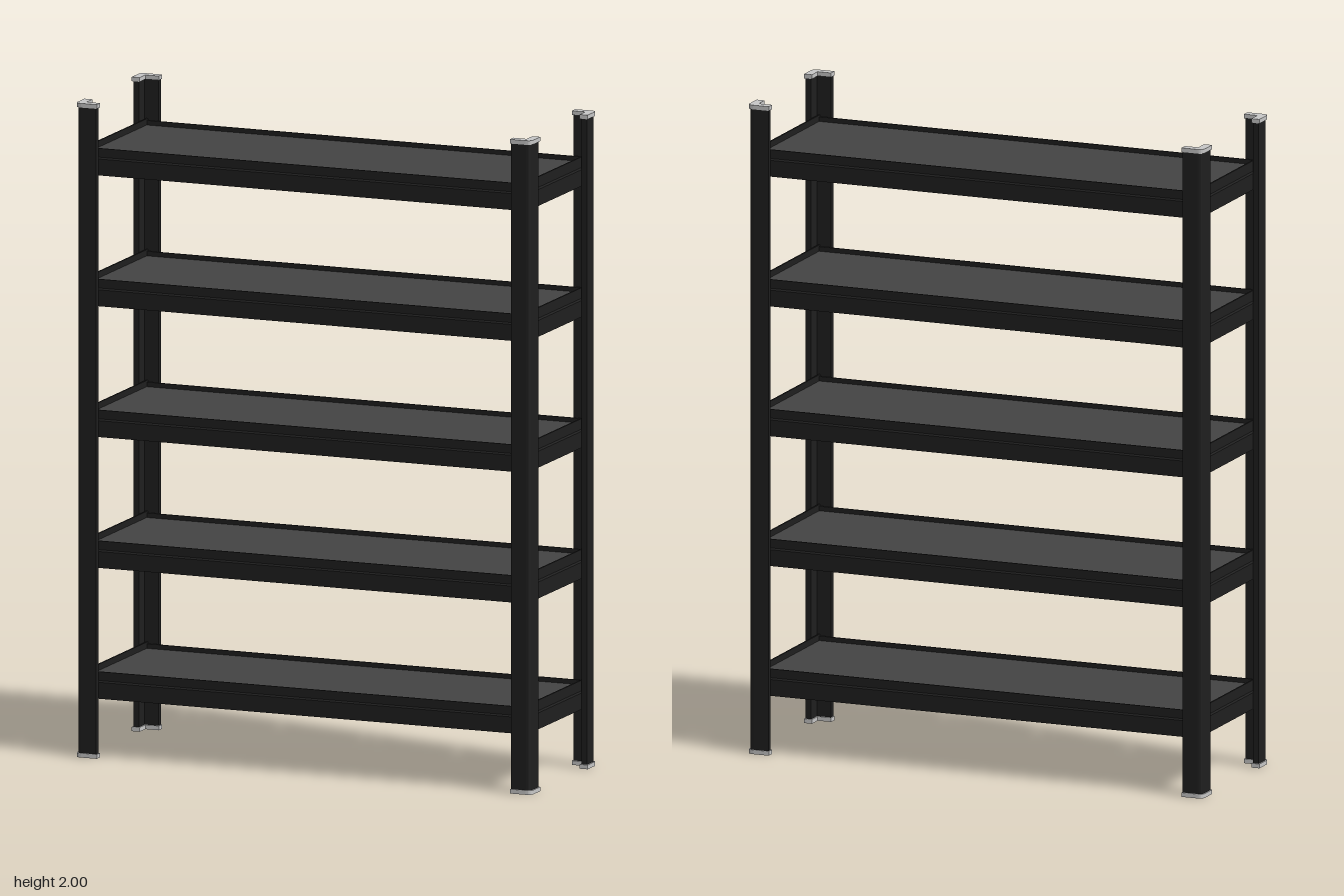
import * as THREE from 'three';

const black = new THREE.MeshStandardMaterial({ color: 0x1f1f1f });
black.name = 'black steel';
const grey = new THREE.MeshStandardMaterial({ color: 0x444444 });
grey.name = 'dark grey board';
const light = new THREE.MeshStandardMaterial({ color: 0xc8c8c8 });
light.name = 'light grey plastic';

const HX = 0.72, HZ = 0.23; // outer faces of the shelf rails
const SHELF_BOTTOMS = [0.18, 0.58, 0.98, 1.38, 1.78];

function addMesh(parent, name, geometry, material) {
  const mesh = new THREE.Mesh(geometry, material);
  mesh.name = name;
  parent.add(mesh);
  return mesh;
}

// Upright angle section for one corner, with a rounded outer edge
function angle(sx, sz, ox, oz, leg, t, r, y0, y1) {
  const p = (a, b) => [sx * (ox - a), -sz * (oz - b)];
  const s = new THREE.Shape();
  s.moveTo(...p(leg, 0));
  s.lineTo(...p(r, 0));
  s.quadraticCurveTo(...p(0, 0), ...p(0, r));
  s.lineTo(...p(0, leg));
  s.lineTo(...p(t, leg));
  s.lineTo(...p(t, t));
  s.lineTo(...p(leg, t));
  s.closePath();
  const g = new THREE.ExtrudeGeometry(s, { depth: y1 - y0, bevelEnabled: false, curveSegments: 5 });
  return g.rotateX(-Math.PI / 2).translate(0, y0, 0);
}

// Stepped rail: outward is +x in the section, length runs along z
function rail(length, offset, turn, rise) {
  const section = [[0, 0], [0, 0.05], [-0.004, 0.055], [-0.004, rise], [-0.009, rise],
    [-0.009, 0.052], [-0.03, 0.052], [-0.03, 0.046], [-0.009, 0.046], [-0.009, 0.006],
    [-0.018, 0.006], [-0.018, 0]];
  const s = new THREE.Shape(section.map(([x, y]) => new THREE.Vector2(x, y)));
  const g = new THREE.ExtrudeGeometry(s, { depth: length, bevelEnabled: false });
  return g.translate(offset, 0, -length / 2).rotateY(turn);
}

function makeShelf() {
  const shelf = new THREE.Group();
  shelf.name = 'shelf';
  // Board resting on the rail ledges
  addMesh(shelf, 'board', new THREE.BoxGeometry(2 * HX - 0.018, 0.016, 2 * HZ - 0.018), grey)
    .position.y = 0.06;

  // Rails on all four sides
  addMesh(shelf, 'frontRail', rail(2 * HX, HZ, -Math.PI / 2, 0.082), black);
  addMesh(shelf, 'backRail', rail(2 * HX, HZ, Math.PI / 2, 0.082), black);
  addMesh(shelf, 'leftRail', rail(2 * HZ - 0.002, HX, 0, 0.087), black);
  addMesh(shelf, 'rightRail', rail(2 * HZ - 0.002, HX, Math.PI, 0.087), black);

  // Crossed braces under the board
  const yaw = Math.atan2(HZ - 0.02, HX - 0.02);
  const length = 2 * Math.hypot(HZ - 0.025, HX - 0.025);
  for (const side of [-1, 1]) {
    const brace = addMesh(shelf, 'crossBrace', new THREE.BoxGeometry(length, 0.022, 0.03), black);
    brace.position.y = 0.041 - side * 0.001;
    brace.rotation.y = side * yaw;
  }
  return shelf;
}

export function createModel() {
  const model = new THREE.Group();
  model.name = 'shelvingUnit';

  // Corner posts with top and bottom caps
  for (const sx of [-1, 1]) for (const sz of [-1, 1]) {
    const corner = new THREE.Group();
    corner.name = `${sz > 0 ? 'front' : 'back'}${sx > 0 ? 'Left' : 'Right'}Corner`;
    addMesh(corner, 'post', angle(sx, sz, 0.739, 0.247, 0.063, 0.018, 0.014, 0.008, 1.992), black);
    for (const [name, y] of [['footCap', 0], ['topCap', 1.987]]) {
      addMesh(corner, name, angle(sx, sz, 0.743, 0.25, 0.07, 0.026, 0.018, y, y + 0.013), light);
    }
    model.add(corner);
  }

  // Five equal shelves
  for (const y of SHELF_BOTTOMS) {
    const shelf = makeShelf();
    shelf.position.y = y;
    model.add(shelf);
  }
  return model;
}
